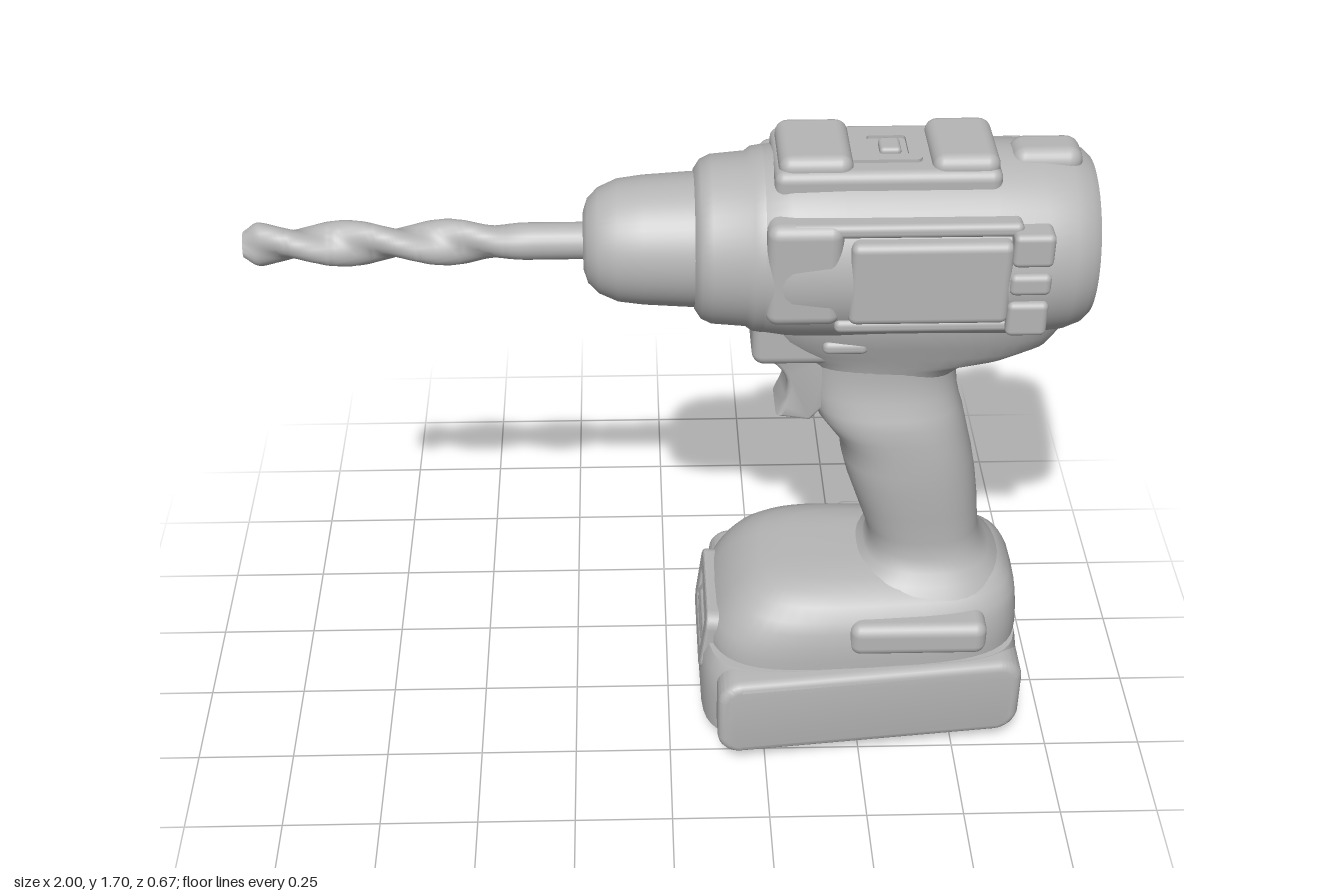
import * as THREE from 'three';
import { toCreasedNormals } from 'three/addons/utils/BufferGeometryUtils.js';
import { RoundedBoxGeometry } from 'three/addons/geometries/RoundedBoxGeometry.js';

const AXIS = 1.43; // height of the motor and chuck axis
const TAU = Math.PI * 2;

// Skin a closed surface over rings of points, with both ends capped
function skin(rings, crease = 0.8) {
  const n = rings[0].length, pos = [], idx = [];
  rings.forEach(r => r.forEach(p => pos.push(p.x, p.y, p.z)));
  for (let i = 0; i < rings.length - 1; i++) {
    for (let j = 0; j < n; j++) {
      const a = i * n + j, b = i * n + (j + 1) % n;
      idx.push(a, b, b + n, a, b + n, a + n);
    }
  }
  [0, rings.length - 1].forEach((k, end) => {
    const c = rings[k].reduce((s, p) => s.add(p), new THREE.Vector3()).divideScalar(n);
    const ci = pos.length / 3;
    pos.push(c.x, c.y, c.z);
    for (let j = 0; j < n; j++) {
      const a = k * n + j, b = k * n + (j + 1) % n;
      if (end) idx.push(a, b, ci); else idx.push(b, a, ci);
    }
  });
  // turn the surface outwards if its signed volume is negative
  let volume = 0;
  const P = i => new THREE.Vector3().fromArray(pos, i * 3);
  const centre = P(pos.length / 3 - 1);
  for (let i = 0; i < idx.length; i += 3) {
    const [a, b, c] = [0, 1, 2].map(k => P(idx[i + k]).sub(centre));
    volume += a.dot(b.cross(c));
  }
  if (volume < 0) idx.reverse();
  const g = new THREE.BufferGeometry();
  g.setAttribute('position', new THREE.Float32BufferAttribute(pos, 3));
  g.setIndex(idx);
  return toCreasedNormals(g, crease);
}

// Upright loft: stations of [y, xFront, xRear, halfWidth], superellipse power, narrowing to the rear
function loft(stations, power = 2.6, taper = 0, crease = 0.8) {
  const e = 2 / power, pw = v => Math.sign(v) * Math.abs(v) ** e;
  return skin(stations.map(([y, x0, x1, w]) => Array.from({ length: 48 }, (_, j) => {
    const a = j / 48 * TAU, u = pw(Math.cos(a));
    return new THREE.Vector3((x0 + x1) / 2 + u * (x1 - x0) / 2, y,
      pw(Math.sin(a)) * w * (1 - taper * (u + 1) / 2));
  })), crease);
}

// Turned part along the x axis: profile of [x, radius]
function turned(profile) {
  const g = new THREE.LatheGeometry(profile.map(([x, r]) => new THREE.Vector2(r, x)), 56);
  g.rotateZ(-Math.PI / 2).translate(0, AXIS, 0);
  g.deleteAttribute('normal');
  g.deleteAttribute('uv');
  return toCreasedNormals(g, 0.6);
}

// Rounded box from its bounds
function block(x0, x1, y0, y1, z0, z1, r = 0.02) {
  return new RoundedBoxGeometry(x1 - x0, y1 - y0, z1 - z0, 3, r)
    .translate((x0 + x1) / 2, (y0 + y1) / 2, (z0 + z1) / 2);
}

function roundRect(C, x0, x1, y0, y1, r) {
  const s = new C();
  s.absarc(x1 - r, y1 - r, r, 0, Math.PI / 2);
  s.absarc(x0 + r, y1 - r, r, Math.PI / 2, Math.PI);
  s.absarc(x0 + r, y0 + r, r, Math.PI, Math.PI * 1.5);
  s.absarc(x1 - r, y0 + r, r, Math.PI * 1.5, TAU);
  s.closePath();
  return s;
}

export function createModel() {
  const drill = new THREE.Group();
  drill.name = 'cordlessDrill';
  const grey = new THREE.MeshStandardMaterial({ color: 0xb6b6b6 });
  grey.name = 'grey';
  const add = (name, geometry) => {
    const m = new THREE.Mesh(geometry, grey);
    m.name = name;
    drill.add(m);
    return m;
  };

  // Twist bit: two-lobed section turning along x, fading into a round shank
  const bit = [];
  for (let i = 0; i <= 90; i++) {
    const x = -1 + 0.82 * i / 90;
    const flute = 1 - THREE.MathUtils.smoothstep(x, -0.5, -0.3);
    const tip = 0.5 + 0.5 * THREE.MathUtils.smoothstep(x, -1.01, -0.96);
    bit.push(Array.from({ length: 24 }, (_, j) => {
      const a = j / 24 * TAU, turn = (x + 0.96) * Math.PI / 0.24;
      const r = tip * (0.044 + flute * 0.011 * Math.cos(2 * (a - turn)));
      return new THREE.Vector3(x, AXIS + Math.cos(a) * r, Math.sin(a) * r);
    }));
  }
  add('drillBit', skin(bit, 0.9));

  add('chuck', turned([[-0.2, 0], [-0.2, 0.07], [-0.19, 0.1], [-0.165, 0.125], [-0.12, 0.145],
    [-0.06, 0.153], [0.05, 0.16], [0.08, 0.16]]));
  add('torqueCollar', turned([[0.06, 0], [0.06, 0.165], [0.075, 0.188], [0.1, 0.2], [0.18, 0.207],
    [0.195, 0.218], [0.22, 0.222]]));
  add('motorHousing', turned([[0.19, 0], [0.19, 0.2], [0.215, 0.22], [0.28, 0.23], [0.4, 0.233], [0.75, 0.233],
    [0.86, 0.23], [0.93, 0.222], [0.97, 0.207], [0.988, 0.19], [0.992, 0.165], [0.98, 0.14],
    [0.978, 0.108], [0.99, 0.1], [0.999, 0.07], [1, 0]]));

  // Side cover, front clip and vents, spanning the housing to both sides
  add('sideCover', block(0.41, 0.78, 1.33, 1.545, -0.237, 0.237, 0.02));
  add('frontClip', block(0.22, 0.395, 1.32, 1.585, -0.226, 0.226, 0.03));
  add('upperRail', block(0.27, 0.8, 1.55, 1.585, -0.215, 0.215, 0.015));
  add('lowerRail', block(0.38, 0.86, 1.3, 1.335, -0.222, 0.222, 0.015));
  [[1.3, 1.39], [1.41, 1.465], [1.485, 1.57]].forEach(([y0, y1]) =>
    add('ventRib', block(0.775, 0.87, y0, y1, -0.243, 0.243, 0.015)));

  // Raised top pad with direction window
  add('topPad', block(0.24, 0.76, 1.59, 1.668, -0.125, 0.125, 0.025));
  add('topPadFront', block(0.25, 0.42, 1.6, 1.697, -0.11, 0.11, 0.03));
  add('topPadRear', block(0.6, 0.755, 1.6, 1.697, -0.11, 0.11, 0.03));
  const frame = roundRect(THREE.Shape, 0.41, 0.58, -0.07, 0.07, 0.015);
  frame.holes.push(roundRect(THREE.Path, 0.46, 0.55, -0.045, 0.045, 0.008));
  add('windowFrame', new THREE.ExtrudeGeometry(frame, { depth: 0.02, bevelEnabled: false })
    .rotateX(-Math.PI / 2).translate(0, 1.656, 0));
  add('windowButton', block(0.485, 0.535, 1.65, 1.682, -0.03, 0.03, 0.01));
  add('rearHump', block(0.79, 0.955, 1.58, 1.68, -0.055, 0.055, 0.035));

  // Neck below the motor, trigger housing and grip
  add('neck', loft([[1.08, 0.36, 0.71, 0.1], [1.11, 0.34, 0.75, 0.108], [1.13, 0.31, 0.86, 0.115],
    [1.16, 0.26, 0.93, 0.125], [1.2, 0.22, 0.955, 0.14], [1.26, 0.2, 0.975, 0.16], [1.34, 0.2, 0.98, 0.16]], 2.6));
  add('triggerHousing', block(0.2, 0.48, 1.125, 1.28, -0.1, 0.1, 0.03));
  add('reverseSwitch', block(0.365, 0.475, 1.185, 1.222, -0.142, 0.142, 0.016));
  add('grip', loft([[0.46, 0.44, 0.88, 0.2], [0.49, 0.475, 0.86, 0.178], [0.515, 0.51, 0.835, 0.155],
    [0.55, 0.52, 0.81, 0.138], [0.6, 0.508, 0.8, 0.137], [0.68, 0.48, 0.792, 0.142], [0.76, 0.452, 0.78, 0.147],
    [0.82, 0.436, 0.768, 0.147], [0.87, 0.43, 0.755, 0.145], [0.91, 0.4, 0.745, 0.143], [0.95, 0.37, 0.735, 0.14],
    [0.98, 0.36, 0.725, 0.132], [1.02, 0.35, 0.715, 0.115], [1.08, 0.345, 0.708, 0.106], [1.13, 0.34, 0.72, 0.108]], 2.5));

  // Curved trigger
  const t = new THREE.Shape();
  t.moveTo(0.235, 1.14);
  t.quadraticCurveTo(0.34, 1.08, 0.28, 0.965);
  t.lineTo(0.345, 0.955);
  t.lineTo(0.4, 1.02);
  t.lineTo(0.4, 1.14);
  t.closePath();
  add('trigger', toCreasedNormals(new THREE.ExtrudeGeometry(t, {
    depth: 0.1, bevelThickness: 0.02, bevelSize: 0.012, bevelSegments: 3, curveSegments: 10,
  }).translate(0, 0, -0.05), 0.7));

  // Base that holds the battery
  add('base', loft([[0.28, 0.1, 0.915, 0.285], [0.32, 0.1, 0.917, 0.285], [0.36, 0.115, 0.915, 0.282],
    [0.4, 0.14, 0.91, 0.272], [0.43, 0.165, 0.905, 0.258], [0.46, 0.2, 0.89, 0.23], [0.482, 0.24, 0.87, 0.195],
    [0.495, 0.3, 0.85, 0.155], [0.503, 0.42, 0.82, 0.1]], 3.6, 0.16));
  add('sidePad', block(0.46, 0.81, 0.34, 0.435, -0.277, 0.277, 0.03));

  // Battery: core, tapering side panels, foot and front latch
  add('batteryCore', loft([[0.05, 0.11, 0.9, 0.27], [0.065, 0.085, 0.912, 0.29], [0.18, 0.08, 0.918, 0.295],
    [0.26, 0.085, 0.918, 0.295], [0.295, 0.1, 0.91, 0.285]], 5, 0.16));
  [1, -1].forEach(side => {
    const panel = new THREE.ExtrudeGeometry(roundRect(THREE.Shape, 0.145, 0.895, 0.08, 0.27, 0.04), {
      depth: 0.1, bevelThickness: 0.025, bevelSize: 0.023, bevelSegments: 4,
    });
    panel.translate(0, 0, side > 0 ? 0.21 : -0.31);
    const p = panel.attributes.position;
    for (let i = 0; i < p.count; i++) p.setZ(i, p.getZ(i) - side * 0.1 * (p.getX(i) - 0.12));
    add(side > 0 ? 'leftBatteryPanel' : 'rightBatteryPanel', toCreasedNormals(panel, 0.6));
  });
  add('batteryFoot', loft([[0, 0.2, 0.8, 0.205], [0.06, 0.165, 0.83, 0.22]], 7, 0.1));

  const latch = roundRect(THREE.Shape, -0.15, 0.15, -0.085, 0.085, 0.03);
  latch.holes.push(roundRect(THREE.Path, -0.11, 0.11, -0.055, 0.055, 0.02));
  const latchFrame = add('latchFrame', new THREE.ExtrudeGeometry(latch, {
    depth: 0.03, bevelThickness: 0.008, bevelSize: 0.008, bevelSegments: 2,
  }));
  latchFrame.rotation.set(0, -Math.PI / 2, 0);
  latchFrame.rotateX(-0.12);
  latchFrame.position.set(0.125, 0.28, 0);
  add('latchButton', block(0.088, 0.14, 0.245, 0.285, -0.09, 0.09, 0.015));

  return drill;
}
